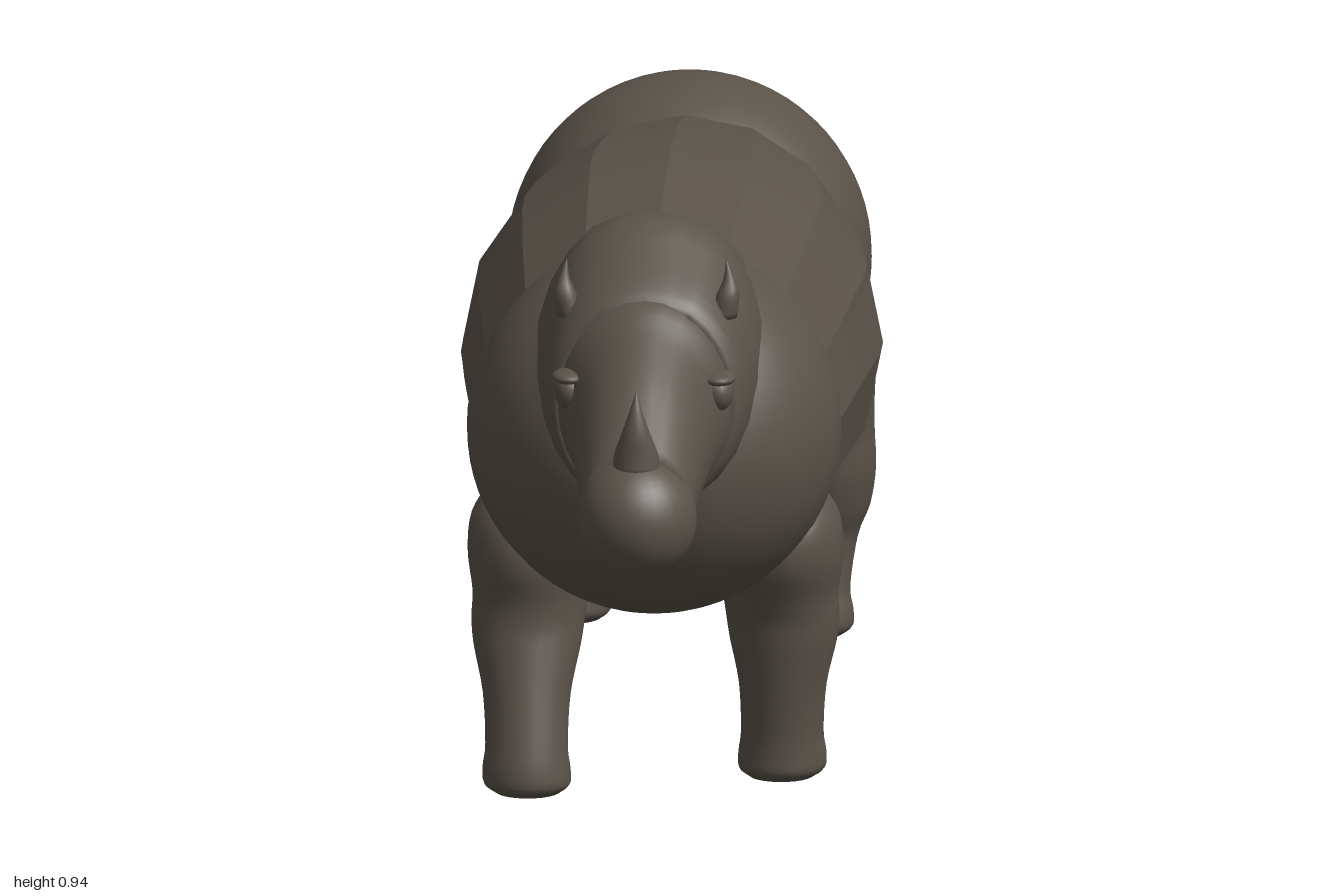
import * as THREE from 'three';
import { toCreasedNormals } from 'three/addons/utils/BufferGeometryUtils.js';

const hide = new THREE.MeshStandardMaterial({ color: 0x5b534a });
hide.name = 'greyBrownHide';

// Closed skin over elliptical sections [x, y, z, radiusX, radiusOther],
// ordered upward (axis 'y') or forward (axis 'z'); smoothed by `sub` steps per span.
function loft(sections, axis, sides = 24, sub = 4) {
  const centres = new THREE.CatmullRomCurve3(sections.map(s => new THREE.Vector3(s[0], s[1], s[2])), false, 'catmullrom');
  const radii = new THREE.CatmullRomCurve3(sections.map(s => new THREE.Vector3(s[3], s[4], 0)), false, 'catmullrom');
  const rings = (sections.length - 1) * sub;
  const pos = [], index = [];
  for (let j = 0; j <= rings; j++) {
    const c = centres.getPoint(j / rings), r = radii.getPoint(j / rings);
    for (let i = 0; i < sides; i++) {
      const a = (i / sides) * Math.PI * 2;
      const u = Math.cos(a) * r.x, v = Math.sin(a) * r.y;
      if (axis === 'z') pos.push(c.x + u, c.y + v, c.z);
      else pos.push(c.x + u, c.y, c.z - v);
    }
  }
  for (let j = 0; j < rings; j++) {
    for (let i = 0; i < sides; i++) {
      const k = (i + 1) % sides, a = j * sides, b = a + sides;
      index.push(a + i, a + k, b + k, a + i, b + k, b + i);
    }
  }
  // end caps
  const first = sections[0], last = sections[sections.length - 1];
  const n = pos.length / 3, top = rings * sides;
  pos.push(first[0], first[1], first[2], last[0], last[1], last[2]);
  for (let i = 0; i < sides; i++) {
    const k = (i + 1) % sides;
    index.push(n, k, i, n + 1, top + i, top + k);
  }
  const g = new THREE.BufferGeometry();
  g.setAttribute('position', new THREE.Float32BufferAttribute(pos, 3));
  g.setIndex(index);
  g.computeVertexNormals();
  return g;
}

const ball = (x, y, z, rx, ry, rz, seg = 32) =>
  new THREE.SphereGeometry(1, seg, Math.round(seg * 0.75)).scale(rx, ry, rz).translate(x, y, z);

export function createModel() {
  const model = new THREE.Group();
  model.name = 'rhinoceros';
  const add = (name, geometry, parent = model) => {
    const mesh = new THREE.Mesh(geometry, hide);
    mesh.name = name;
    parent.add(mesh);
    return mesh;
  };

  // Barrel with lengthwise facets
  add('barrel', toCreasedNormals(loft([
    [0, 0.575, -0.62, 0.26, 0.255],
    [0, 0.575, -0.45, 0.292, 0.285],
    [0, 0.57, -0.2, 0.325, 0.319],
    [0, 0.575, 0, 0.316, 0.312],
    [0, 0.575, 0.2, 0.299, 0.293],
    [0, 0.57, 0.38, 0.28, 0.28],
  ], 'z', 16, 2), 0.35));
  add('shoulders', ball(0, 0.57, 0.38, 0.29, 0.29, 0.285, 48));
  add('rump', ball(0, 0.587, -0.7, 0.282, 0.286, 0.282, 48));
  add('tail', ball(0, 0.58, -0.962, 0.035, 0.13, 0.038, 20));
  add('bellyBump', ball(0, 0.305, -0.38, 0.05, 0.04, 0.06, 20));

  // Neck hump, with a flat crest
  const hump = loft([
    [0, 0.70, 0.265, 0.15, 0.16],
    [0, 0.70, 0.29, 0.17, 0.193],
    [0, 0.70, 0.4, 0.175, 0.218],
    [0, 0.70, 0.5, 0.18, 0.244],
    [0, 0.69, 0.58, 0.17, 0.214],
    [0, 0.68, 0.65, 0.155, 0.181],
    [0, 0.67, 0.672, 0.135, 0.165],
  ].map(([x, y, z, rx, ry]) => [0, x, z, rx, ry, y]).map(([, , z, rx, ry, y]) => [0, y, z, rx, ry]), 'z', 24, 3);
  // flatten the top of the hump
  const p = hump.attributes.position;
  for (let i = 0; i < p.count; i++) {
    if (Math.abs(p.getX(i)) < 0.05 && p.getY(i) > 0.8) p.setY(i, p.getY(i) - 0.006);
  }
  hump.computeVertexNormals();
  add('neckHump', hump);

  // Head tapering into a round snout
  add('head', loft([
    [0, 0.68, 0.56, 0.15, 0.17],
    [0, 0.675, 0.66, 0.138, 0.165],
    [0, 0.645, 0.72, 0.115, 0.155],
    [0, 0.61, 0.8, 0.1, 0.137],
    [0, 0.582, 0.86, 0.092, 0.118],
    [0, 0.56, 0.92, 0.084, 0.09],
  ], 'z', 28));
  add('snout', ball(0, 0.55, 0.905, 0.093, 0.097, 0.095));

  // Nose horn, slightly curved
  add('noseHorn', loft([
    [0, 0.63, 0.92, 0.037, 0.035],
    [0, 0.655, 0.922, 0.034, 0.031],
    [0, 0.69, 0.931, 0.022, 0.02],
    [0, 0.725, 0.933, 0.01, 0.009],
    [0, 0.753, 0.929, 0.001, 0.001],
  ], 'y', 20));

  for (const s of [1, -1]) {
    const side = s > 0 ? 'left' : 'right';

    // Ears
    add(side + 'Ear', loft([
      [s * 0.118, 0.8, 0.61, 0.022, 0.022],
      [s * 0.126, 0.835, 0.612, 0.018, 0.018],
      [s * 0.128, 0.86, 0.608, 0.009, 0.01],
      [s * 0.124, 0.887, 0.604, 0.001, 0.001],
    ], 'y', 12));

    // Eyes with heavy upper lids
    const eye = new THREE.Group();
    eye.name = side + 'Eye';
    model.add(eye);
    add('eyeball', ball(s * 0.115, 0.699, 0.688, 0.024, 0.03, 0.03, 20), eye);
    add('upperLid', ball(s * 0.116, 0.722, 0.688, 0.027, 0.011, 0.037, 20), eye);

    // Front legs: the right one steps forward
    const f = s > 0 ? 0 : 1;
    const fz = (z, step) => z + f * step;
    add(side + 'FrontLeg', loft([
      [s * 0.193, 0, fz(0.303, 0.13), 0.05, 0.05],
      [s * 0.194, 0.014, fz(0.303, 0.13), 0.067, 0.066],
      [s * 0.195, 0.04, fz(0.304, 0.129), 0.068, 0.066],
      [s * 0.195, 0.075, fz(0.31, 0.12), 0.064, 0.062],
      [s * 0.196, 0.15, fz(0.316, 0.09), 0.068, 0.067],
      [s * 0.197, 0.22, fz(0.315, 0.06), 0.083, 0.08],
      [s * 0.196, 0.26, fz(0.315, 0.045), 0.088, 0.086],
      [s * 0.193, 0.3, fz(0.318, 0.03), 0.09, 0.098],
      [s * 0.195, 0.36, fz(0.322, 0.015), 0.096, 0.12],
      [s * 0.2, 0.42, fz(0.325, 0.005), 0.085, 0.11],
      [s * 0.195, 0.47, fz(0.325, 0), 0.06, 0.06],
    ], 'y'));

    // Back legs: the right one trails a little
    const bz = (z, step) => z - f * step;
    add(side + 'BackLeg', loft([
      [s * 0.19, 0, bz(-0.648, 0.085), 0.05, 0.048],
      [s * 0.19, 0.014, bz(-0.648, 0.085), 0.066, 0.066],
      [s * 0.19, 0.04, bz(-0.649, 0.084), 0.066, 0.066],
      [s * 0.19, 0.075, bz(-0.656, 0.075), 0.061, 0.063],
      [s * 0.19, 0.15, bz(-0.676, 0.055), 0.072, 0.077],
      [s * 0.187, 0.2, bz(-0.678, 0.035), 0.094, 0.103],
      [s * 0.183, 0.26, bz(-0.672, 0.02), 0.107, 0.122],
      [s * 0.184, 0.32, bz(-0.672, 0.01), 0.104, 0.134],
      [s * 0.188, 0.37, bz(-0.67, 0), 0.1, 0.146],
      [s * 0.19, 0.42, bz(-0.67, 0), 0.1, 0.143],
      [s * 0.2, 0.5, -0.68, 0.09, 0.11],
      [s * 0.2, 0.55, -0.685, 0.05, 0.05],
    ], 'y'));
  }
  return model;
}
